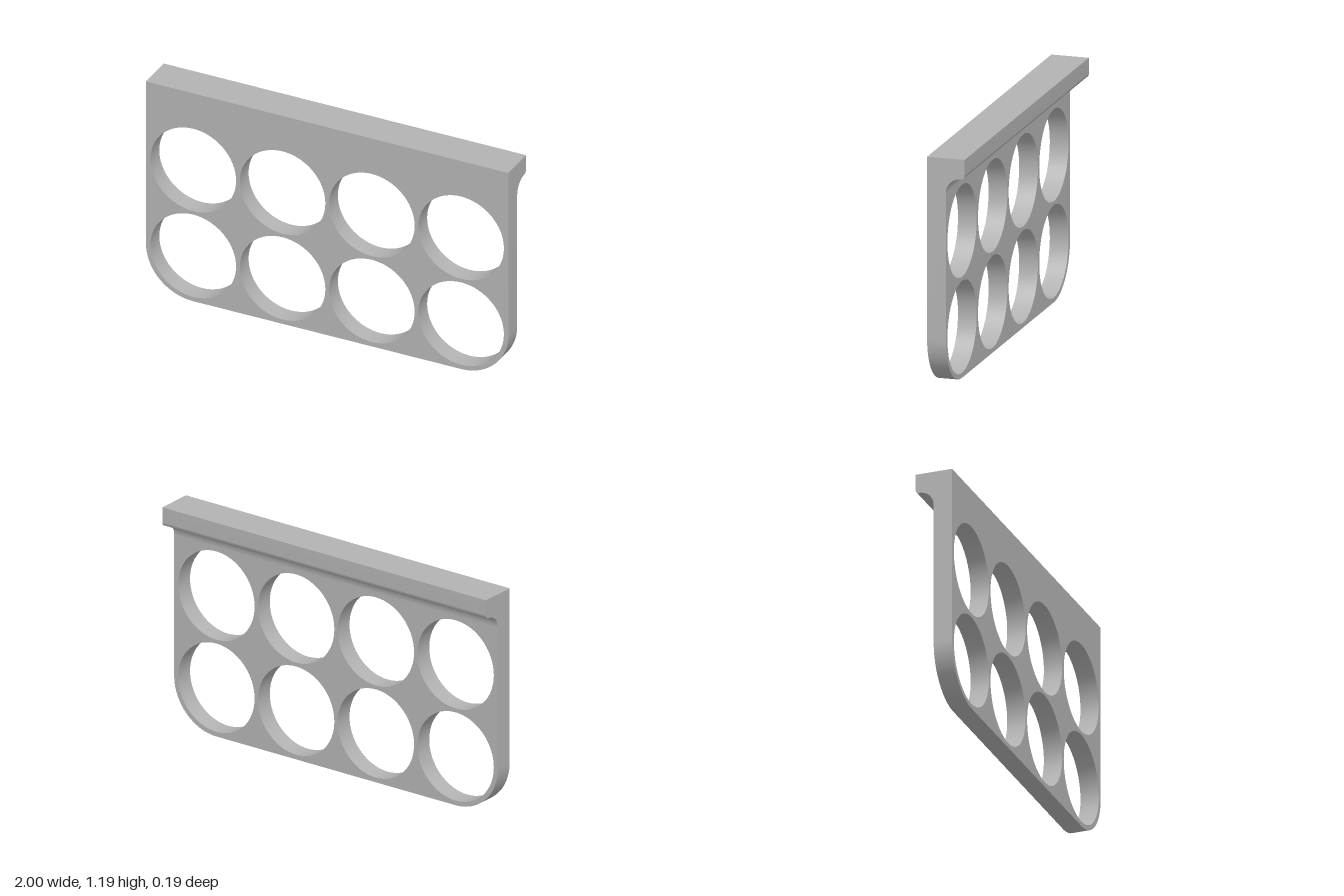
import * as THREE from 'three';
import { toCreasedNormals } from 'three/addons/utils/BufferGeometryUtils.js';

const HALF_DEPTH = 0.0975; // front face z, rail back at -z
const TOP = 1.193;
const SPLIT = 1.014; // height where the rail fillet starts
const CORNER = 0.261; // bottom corner radius, concentric with the outer holes
const HOLE = 0.236;
const PITCH = 0.4927;

function extrude(shape, depth) {
  const geo = new THREE.ExtrudeGeometry(shape, { depth, bevelEnabled: false, curveSegments: 32 });
  return toCreasedNormals(geo, 0.6);
}

export function createModel() {
  const group = new THREE.Group();
  group.name = 'eightHoleRack';
  const grey = new THREE.MeshStandardMaterial({ color: 0xb2b2b2 });
  grey.name = 'grey';

  // Plate with rounded lower corners
  const plate = new THREE.Shape();
  plate.moveTo(1, SPLIT);
  plate.lineTo(-1, SPLIT);
  plate.lineTo(-1, CORNER);
  plate.absarc(-1 + CORNER, CORNER, CORNER, Math.PI, Math.PI * 1.5, false);
  plate.lineTo(1 - CORNER, 0);
  plate.absarc(1 - CORNER, CORNER, CORNER, -Math.PI / 2, 0, false);
  plate.closePath();

  // Two rows of four round holes
  for (let row = 0; row < 2; row++) {
    for (let col = 0; col < 4; col++) {
      const hole = new THREE.Path();
      hole.absarc((col - 1.5) * PITCH, CORNER + row * PITCH, HOLE, 0, Math.PI * 2, true);
      plate.holes.push(hole);
    }
  }
  const plateMesh = new THREE.Mesh(extrude(plate, HALF_DEPTH), grey);
  plateMesh.name = 'holedPlate';
  group.add(plateMesh);

  // Top rail: side profile (u = -z) with a concave fillet and a rounded lip
  const fillet = 0.077;
  const lip = HALF_DEPTH - fillet;
  const lipBottom = SPLIT + fillet;
  const rail = new THREE.Shape();
  rail.moveTo(-HALF_DEPTH, TOP);
  rail.lineTo(-HALF_DEPTH, SPLIT);
  rail.lineTo(0, SPLIT);
  rail.absarc(fillet, SPLIT, fillet, Math.PI, Math.PI / 2, true);
  rail.absarc(fillet, lipBottom + lip, lip, -Math.PI / 2, 0, false);
  rail.lineTo(HALF_DEPTH, TOP);
  rail.closePath();
  const railGeo = extrude(rail, 2);
  railGeo.rotateY(Math.PI / 2);
  railGeo.translate(-1, 0, 0);
  const railMesh = new THREE.Mesh(railGeo, grey);
  railMesh.name = 'topRail';
  group.add(railMesh);

  return group;
}
